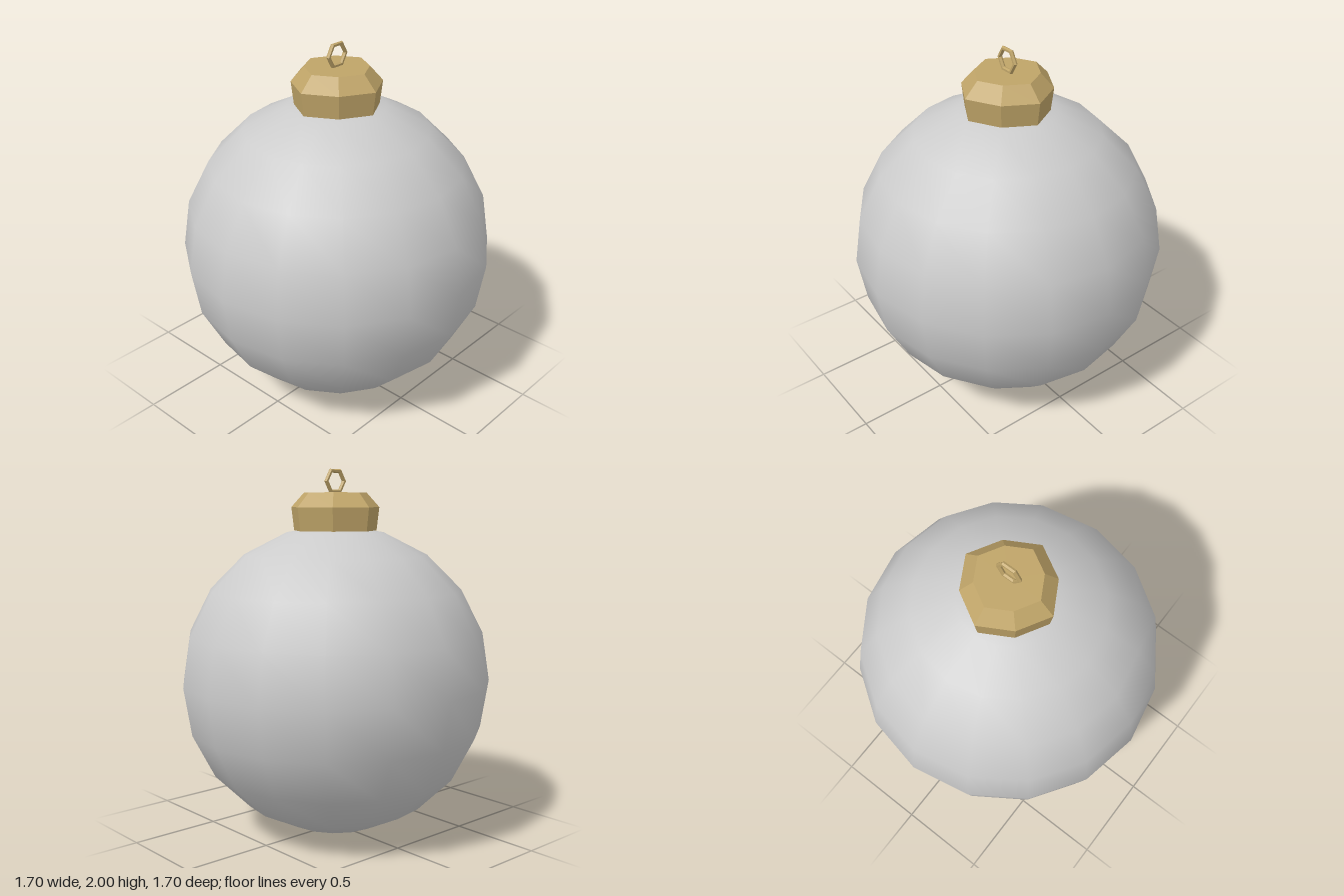
import * as THREE from 'three';

export function createModel() {
  const group = new THREE.Group();
  const grey = new THREE.MeshStandardMaterial({ color: 0xcccccc });
  const gold = new THREE.MeshStandardMaterial({ color: 0xbfa468, flatShading: true, side: THREE.DoubleSide });

  const add = (name, geometry, material, y = 0) => {
    const mesh = new THREE.Mesh(geometry, material);
    mesh.name = name;
    mesh.position.y = y;
    group.add(mesh);
  };

  // Smooth round body
  add('bauble', new THREE.SphereGeometry(0.852, 16, 10), grey, 0.852);

  // Faceted cap: eight sides, with the diagonal corners pulled in slightly
  const profile = [[0.248, 1.672], [0.264, 1.797], [0.187, 1.875], [0, 1.875]]
    .map(([r, y]) => new THREE.Vector2(r, y));
  const cap = new THREE.LatheGeometry(profile, 8);
  const p = cap.attributes.position;
  for (let i = 0; i < p.count; i++) {
    const diagonal = Math.abs(p.getX(i) * p.getZ(i)) > 1e-4;
    const s = diagonal ? 0.905 : 1;
    p.setXYZ(i, p.getX(i) * s, p.getY(i), p.getZ(i) * s);
  }
  add('cap', cap, gold);

  // Six-sided hanging loop
  add('hangingLoop', new THREE.TorusGeometry(0.063, 0.012, 6, 6), gold, 1.935);

  return group;
}
